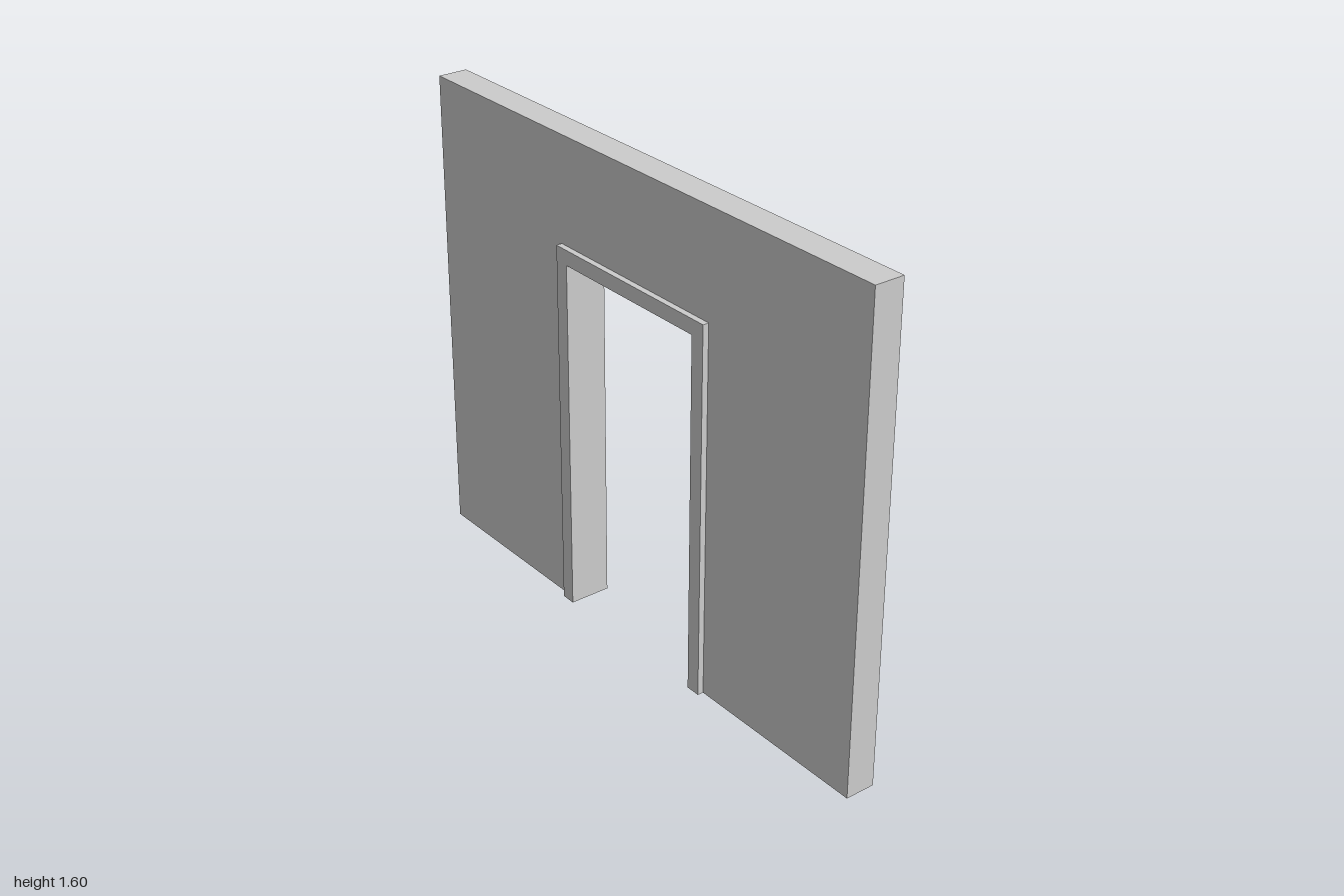
import * as THREE from 'three';

const material = new THREE.MeshStandardMaterial({ color: 0xcccccc, flatShading: true });

// Upright slab standing on y = 0 with a doorway open at the floor, centred in depth
function archSlab(name, halfWidth, height, openHalf, openHeight, depth) {
  const shape = new THREE.Shape([
    [-halfWidth, 0], [-openHalf, 0], [-openHalf, openHeight], [openHalf, openHeight],
    [openHalf, 0], [halfWidth, 0], [halfWidth, height], [-halfWidth, height],
  ].map(([x, y]) => new THREE.Vector2(x, y)));
  const geometry = new THREE.ExtrudeGeometry(shape, { depth, bevelEnabled: false });
  geometry.translate(0, 0, -depth / 2);
  const mesh = new THREE.Mesh(geometry, material);
  mesh.name = name;
  return mesh;
}

export function createModel() {
  const group = new THREE.Group();
  group.name = 'wallWithDoorway';

  // Wall, cut to receive the door frame
  group.add(archSlab('wall', 1, 1.6, 0.35, 1.25, 0.1));

  // Door frame: jambs and head, standing proud of both wall faces
  group.add(archSlab('doorFrame', 0.35, 1.25, 0.3, 1.2, 0.14));

  return group;
}
